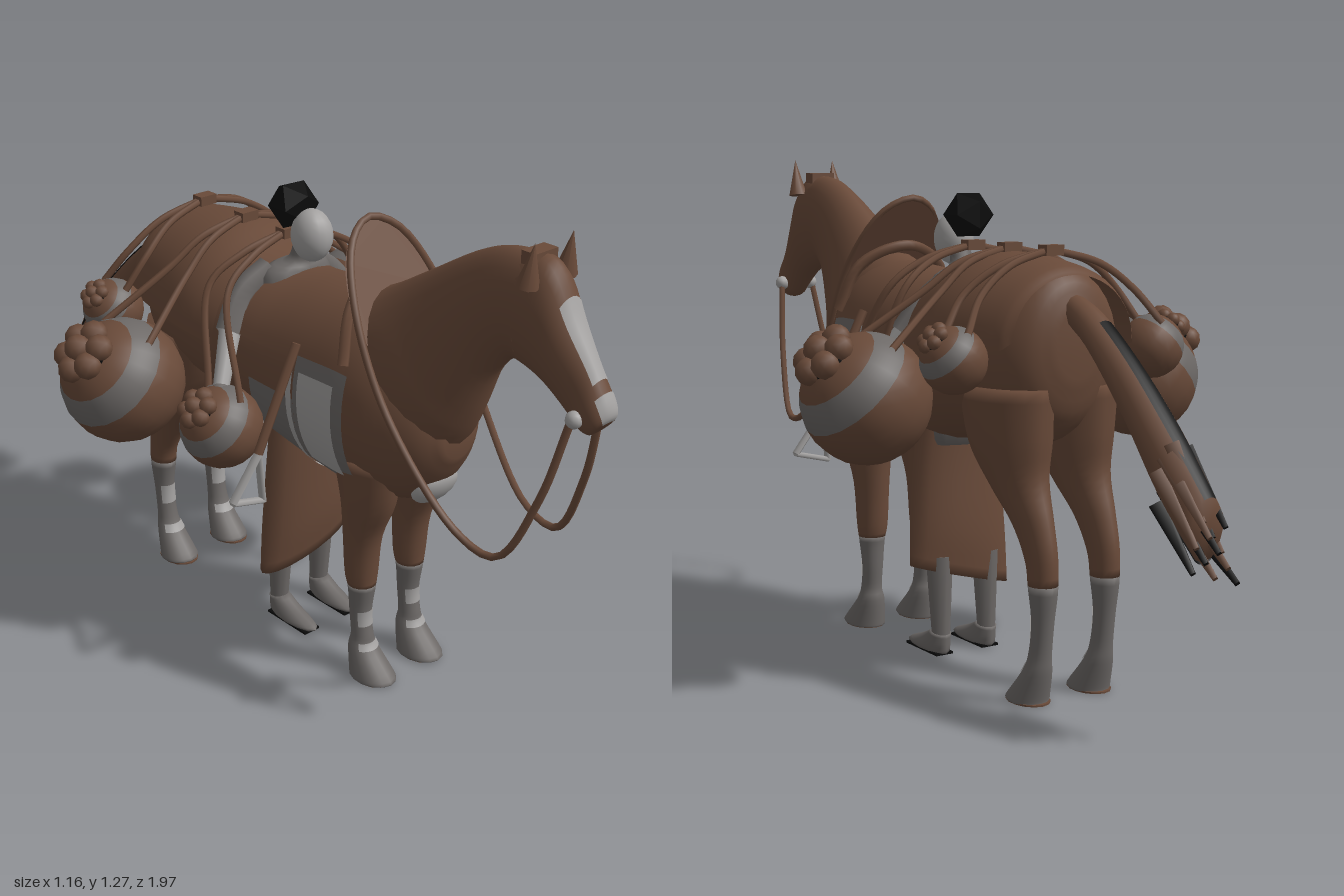
import * as THREE from 'three';

const mat = (name, color) => new THREE.MeshStandardMaterial({ name, color, side: THREE.DoubleSide });
const V = (x, y, z) => new THREE.Vector3(x, y, z);

// Skin through cross-sections [z1, y1, z2, y2, halfWidth]; each is an ellipse between two opposite points.
// t0..t1 (in section numbers) and a0..a1 pick a patch of the skin; grow lifts it off the surface.
function loft(secs, { x = 0, t0 = 0, t1 = secs.length - 1, a0 = 0, a1 = Math.PI * 2, grow = 1, n = 20 } = {}) {
  const A = new THREE.CatmullRomCurve3(secs.map(s => V(s[4], s[1], s[0])), false, 'catmullrom', 0.5);
  const B = new THREE.CatmullRomCurve3(secs.map(s => V(0, s[3], s[2])), false, 'catmullrom', 0.5);
  const full = a1 - a0 > 6.2, cols = full ? n : n + 1;
  const rows = Math.max(2, Math.ceil((t1 - t0) * 4)), pos = [], idx = [], mids = [];
  for (let i = 0; i <= rows; i++) {
    const t = (t0 + (t1 - t0) * i / rows) / (secs.length - 1);
    const a = A.getPoint(t), b = B.getPoint(t), hw = a.x;
    const cy = (a.y + b.y) / 2, cz = (a.z + b.z) / 2;
    mids.push([x, cy, cz]);
    for (let j = 0; j < cols; j++) {
      const w = a0 + (a1 - a0) * j / n, c = Math.cos(w) * grow;
      pos.push(x + Math.sin(w) * hw * grow, cy + (a.y - cy) * c, cz + (a.z - cz) * c);
    }
  }
  for (let i = 0; i < rows; i++) for (let j = 0; j < n; j++) {
    const k = (j + 1) % cols, p = i * cols + j, q = i * cols + k;
    idx.push(p, p + cols, q, q, p + cols, q + cols);
  }
  if (full) {
    const s = pos.length / 3, last = rows * cols;
    pos.push(...mids[0], ...mids[rows]);
    for (let j = 0; j < n; j++) {
      const k = (j + 1) % n;
      idx.push(s, j, k, s + 1, last + k, last + j);
    }
  }
  const g = new THREE.BufferGeometry();
  g.setAttribute('position', new THREE.Float32BufferAttribute(pos, 3));
  g.setIndex(idx);
  g.computeVertexNormals();
  return g;
}

const tube = (pts, r, seg = 28) => new THREE.TubeGeometry(new THREE.CatmullRomCurve3(pts), seg, r, 6);

// Tapered bar between two points
function bar(p, q, r0, r1 = r0, sides = 6) {
  const d = q.clone().sub(p), g = new THREE.CylinderGeometry(r1, r0, d.length(), sides);
  g.applyQuaternion(new THREE.Quaternion().setFromUnitVectors(V(0, 1, 0), d.normalize()));
  return g.translate((p.x + q.x) / 2, (p.y + q.y) / 2, (p.z + q.z) / 2);
}

export function createModel() {
  const model = new THREE.Group();
  const brown = mat('brown', 0x694a39), grey = mat('grey', 0x6c6866);
  const pale = mat('pale grey', 0xa3a1a0), black = mat('black', 0x0b0b0b);
  const add = (name, geo, m, parent = model) => {
    const mesh = new THREE.Mesh(geo, m);
    mesh.name = name;
    parent.add(mesh);
    return mesh;
  };

  // Horse trunk, neck and head
  const body = [[-.47, .92, -.47, .76, .06], [-.44, 1, -.44, .66, .13], [-.36, 1.02, -.36, .6, .18],
    [-.2, 1.02, -.2, .59, .2], [0, .97, 0, .56, .195], [.2, .985, .2, .52, .19], [.35, .99, .35, .5, .18],
    [.45, .95, .45, .51, .155], [.53, .87, .53, .58, .11], [.575, .76, .575, .66, .05]];
  const neck = [[.24, .99, .54, .65, .14], [.34, 1.02, .59, .72, .132], [.46, 1.09, .625, .79, .102],
    [.6, 1.175, .67, .9, .076], [.7, 1.215, .72, .96, .066], [.8, 1.22, .76, .965, .062]];
  const head = [[.72, 1.215, .72, .97, .06], [.8, 1.222, .76, .962, .064], [.845, 1.19, .8, .95, .064],
    [.89, 1.105, .85, .925, .056], [.945, 1.02, .9, .885, .043], [.985, .957, .925, .868, .044],
    [.997, .92, .95, .863, .036], [.985, .895, .96, .87, .015]];
  add('horseBody', loft(body, { n: 28 }), brown);
  add('neck', loft(neck, { n: 24 }), brown);
  add('head', loft(head), brown);
  add('faceBlaze', loft(head, { t0: 2.55, t1: 4.4, a0: -.6, a1: .6, grow: 1.03, n: 6 }), pale);
  add('muzzlePatch', loft(head, { t0: 4.8, t1: 6.6, a0: -.75, a1: .75, grow: 1.04, n: 6 }), pale);
  add('forelock', new THREE.BoxGeometry(.07, .03, .04).translate(0, 1.213, .775), brown);
  const chest = add('chestPatch', new THREE.SphereGeometry(1, 20, 12), pale);
  chest.scale.set(.066, .056, .032);
  chest.position.set(0, .56, .5);
  chest.rotation.x = .6;

  // Saddle and rump blanket
  add('saddle', loft(body, { t0: 4, t1: 6.1, a0: -1.2, a1: 1.2, grow: 1.04 }), brown);
  const blanket = [[-.45, 1, -.45, .7, .17], [-.4, 1.025, -.4, .62, .2], [-.2, 1.045, -.2, .58, .235],
    [-.06, 1.01, -.06, .58, .222]];
  add('rumpBlanket', loft(blanket, { a0: -1.55, a1: 1.55 }), brown);
  add('saddlePommel', tube([V(-.17, .87, .36), V(-.12, .99, .33), V(0, 1.04, .29), V(.12, .99, .33), V(.17, .87, .36)], .014), brown);

  // Thin upright plate at the withers, leaning forward inside the rein loop
  const plate = new THREE.ShapeGeometry(new THREE.Shape().absellipse(0, 0, .135, .2, 0, Math.PI * 2), 20);
  add('withersPlate', plate.rotateX(-.5).translate(0, .985, .355), brown);

  // Legs
  const foreLeg = [[.46, .62, .25, .62, .07], [.44, .5, .28, .5, .058], [.4, .4, .29, .4, .046],
    [.385, .29, .3, .29, .042], [.38, .24, .31, .24, .035], [.37, .17, .315, .17, .029],
    [.378, .11, .32, .11, .028], [.39, .075, .315, .075, .037], [.455, .012, .32, .012, .05], [.452, 0, .322, 0, .05]];
  const hindLeg = [[-.17, .74, -.46, .74, .1], [-.2, .6, -.455, .62, .085], [-.28, .5, -.45, .53, .062],
    [-.36, .42, -.48, .44, .043], [-.41, .34, -.5, .36, .035], [-.425, .28, -.5, .28, .034],
    [-.435, .2, -.49, .2, .027], [-.425, .12, -.48, .12, .028], [-.405, .075, -.475, .075, .037],
    [-.35, .012, -.46, .012, .05], [-.352, 0, -.458, 0, .05]];

  for (const s of [-1, 1]) {
    const side = s < 0 ? 'right' : 'left';
    const name = p => side + p;
    for (const [label, leg, x, cut, toe] of [['ForeLeg', foreLeg, .083, 3.75, .387], ['HindLeg', hindLeg, .09, 4.9, -.405]]) {
      add(name(label), loft(leg, { x: s * x, t1: cut, n: 14 }), brown);
      add(name(label + 'Stocking'), loft(leg, { x: s * x, t0: cut, n: 14 }), grey);
      add(name(label + 'HoofSole'), new THREE.CylinderGeometry(.048, .048, .004, 14)
        .scale(1, 1, 1.3).translate(s * x, 0, toe), brown);
      const k = leg.length - 5;
      for (const [t0, t1] of [[k - .15, k + .5], [k + 1.5, k + 2]])
        add(name(label + 'Patch'), loft(leg, { x: s * x, t0, t1, a0: -1, a1: 1, grow: 1.07, n: 8 }), pale);
    }

    // Ears and bit
    const ear = add(name('Ear'), new THREE.ConeGeometry(.027, .1, 8), brown);
    ear.position.set(s * .06, 1.215, .805);
    ear.rotation.x = .15;
    add(name('BitRing'), new THREE.SphereGeometry(.02, 10, 8).translate(s * .046, .905, .935), pale);

    // Side panels of the saddle
    const panel = (label, t0, t1, lo, hi, grow, m) => add(name(label),
      loft(body, { t0, t1, a0: s > 0 ? lo : -hi, a1: s > 0 ? hi : -lo, grow, n: 10 }), m);
    panel('SaddlePad', 5.1, 6.2, 1.15, 2.45, 1.06, grey);
    panel('PadPanel', 5.2, 5.95, 1.3, 2.3, 1.075, pale);
    panel('PadSkirt', 4.3, 5.1, 1.6, 2.45, 1.06, grey);
    panel('GirthStrap', 4.98, 5.08, 1.2, 2.7, 1.075, pale);

    // Stirrup
    const [top, out, inn] = [V(s * .3, .63, .21), V(s * .38, .525, .21), V(s * .288, .503, .21)];
    add(name('StirrupStrap'), bar(V(s * .18, .88, .21), top, .012), brown);
    for (const [p, q] of [[top, out], [out, inn], [inn, top]]) {
      const edge = add(name('Stirrup'), bar(p, q, .007), pale);
      edge.scale.z = 2;
      edge.position.z = -.21;
    }

    // Rider's arms and feet
    add(name('Sleeve'), tube([V(s * .06, .97, -.03), V(s * .14, .92, -.04), V(s * .2, .84, -.02)], .034, 10), grey);
    add(name('Forearm'), bar(V(s * .195, .845, -.02), V(s * .275, .73, .04), .028, .02, 10), pale);
    add(name('Hand'), new THREE.SphereGeometry(.026, 10, 8).translate(s * .28, .725, .045), grey);
    add(name('Shin'), bar(V(s * .07, .26, .02), V(s * .07, .03, .012), .036, .023, 10), grey);
    add(name('Foot'), loft([[.04, .065, -.015, .055, .026], [.09, .042, -.015, .025, .03],
      [.155, .018, -.015, .012, .032], [.155, .008, -.012, .006, .028]], { x: s * .07, n: 12 }), grey);
    add(name('Sole'), new THREE.BoxGeometry(.05, .006, .15).translate(s * .07, .005, .07), black);

    // Slung jars: [label, x, y, z, radius, rope apex z]
    for (const [label, cx, cy, cz, r, az] of [['FrontJar', .29, .645, .06, .103, -.03],
      ['MiddleJar', .4, .715, -.19, .155, -.19], ['RearJar', .285, .815, -.385, .078, -.36]]) {
      const jar = new THREE.Group();
      jar.name = name(label);
      jar.position.set(s * cx, cy, cz);
      jar.rotation.z = -s * .8;
      model.add(jar);
      const zone = (part, a, b, m) => add(part, new THREE.SphereGeometry(r, 20, 8, 0, Math.PI * 2, a, b - a), m, jar);
      zone('jarCollar', .4, .8, brown);
      zone('jarBand', .8, 1.28, grey);
      zone('jarBowl', 1.28, Math.PI, brown);
      add('jarMouth', new THREE.CylinderGeometry(r * .42, r * .42, .01, 14).translate(0, r * .93, 0), black, jar);
      for (let i = 0; i < 7; i++) {
        const w = i * Math.PI / 3, d = i < 6 ? r * .32 : 0;
        add('fruit', new THREE.IcosahedronGeometry(r * .22, 1)
          .translate(Math.cos(w) * d, r * (i < 6 ? 1 : 1.12), Math.sin(w) * d), brown, jar);
      }
      for (const f of [-.6, .6])
        add(name(label + 'Rope'), tube([V(0, 1.055, az), V(s * .13, 1.02, az + f * .03),
          V(s * .22, .955, az + f * .06), V(s * (cx - r * .1), cy + r * .78, cz + f * r)], .009), brown);
    }
  }
  for (const z of [-.03, -.19, -.36])
    add('ropeKnot', new THREE.BoxGeometry(.05, .025, .035).translate(0, 1.053, z), brown);

  // Reins: one loop from bit to bit over the withers
  const half = [[.05, .9, .93], [.075, .7, .88], [.1, .53, .79], [.112, .55, .68], [.145, .78, .48],
    [.135, 1, .36], [.075, 1.13, .285]];
  add('reins', tube([...half.map(p => V(...p)), V(0, 1.165, .26),
    ...half.map(([x, y, z]) => V(-x, y, z)).reverse()], .009, 90), brown);

  // Tail with dark streaks and ragged ends
  const tail = [[-.42, .9, -.42, .97, .03], [-.55, .82, -.53, .925, .042], [-.7, .66, -.66, .83, .048],
    [-.82, .51, -.8, .7, .054], [-.91, .42, -.93, .56, .045]];
  add('tail', loft(tail, { n: 12 }), brown);
  add('tailStreak', loft(tail, { t0: 1.3, t1: 4, a0: Math.PI - .35, a1: Math.PI + .35, grow: 1.05, n: 4 }), black);
  add('tailUnderStreak', loft(tail, { t0: 2.6, t1: 4, a0: -.5, a1: .5, grow: 1.05, n: 4 }), black);
  for (let i = 0; i < 12; i++) {
    const x = ((i * 5) % 12 - 5.5) * .008, u = i / 11;
    add('tailStrand', bar(V(x, .5 + u * .16, -.8 - u * .02), V(x * 1.1, .38 + u * .13, -.965 + (i % 3) * .02),
      .024, .008, 4), i % 2 ? brown : black);
  }

  // Rider: torso, skirt with a slanted hem, head and hair
  add('riderTorso', loft([[.09, .55, -.03, .55, .1], [.08, .8, -.06, .8, .1], [.06, .96, -.06, .96, .1],
    [.05, 1, -.01, 1, .035], [.06, 1.05, .01, 1.05, .03]], { n: 16 }), grey);
  const skirt = loft([[.11, .62, -.02, .62, .11], [.11, .5, -.02, .5, .125], [.105, .32, -.025, .32, .14],
    [.085, .2, -.015, .2, .147]]);
  const p = skirt.attributes.position;
  for (let i = 0; i < p.count; i++)
    p.setY(i, p.getY(i) + p.getX(i) * .26 * THREE.MathUtils.smoothstep(.62 - p.getY(i), 0, .42));
  skirt.computeVertexNormals();
  add('riderSkirt', skirt, brown);
  add('riderHead', new THREE.SphereGeometry(1, 16, 12).scale(.05, .066, .055).translate(0, 1.066, .06), pale);
  add('riderHair', new THREE.IcosahedronGeometry(.063, 0).translate(0, 1.127, -.008), black);
  return model;
}
